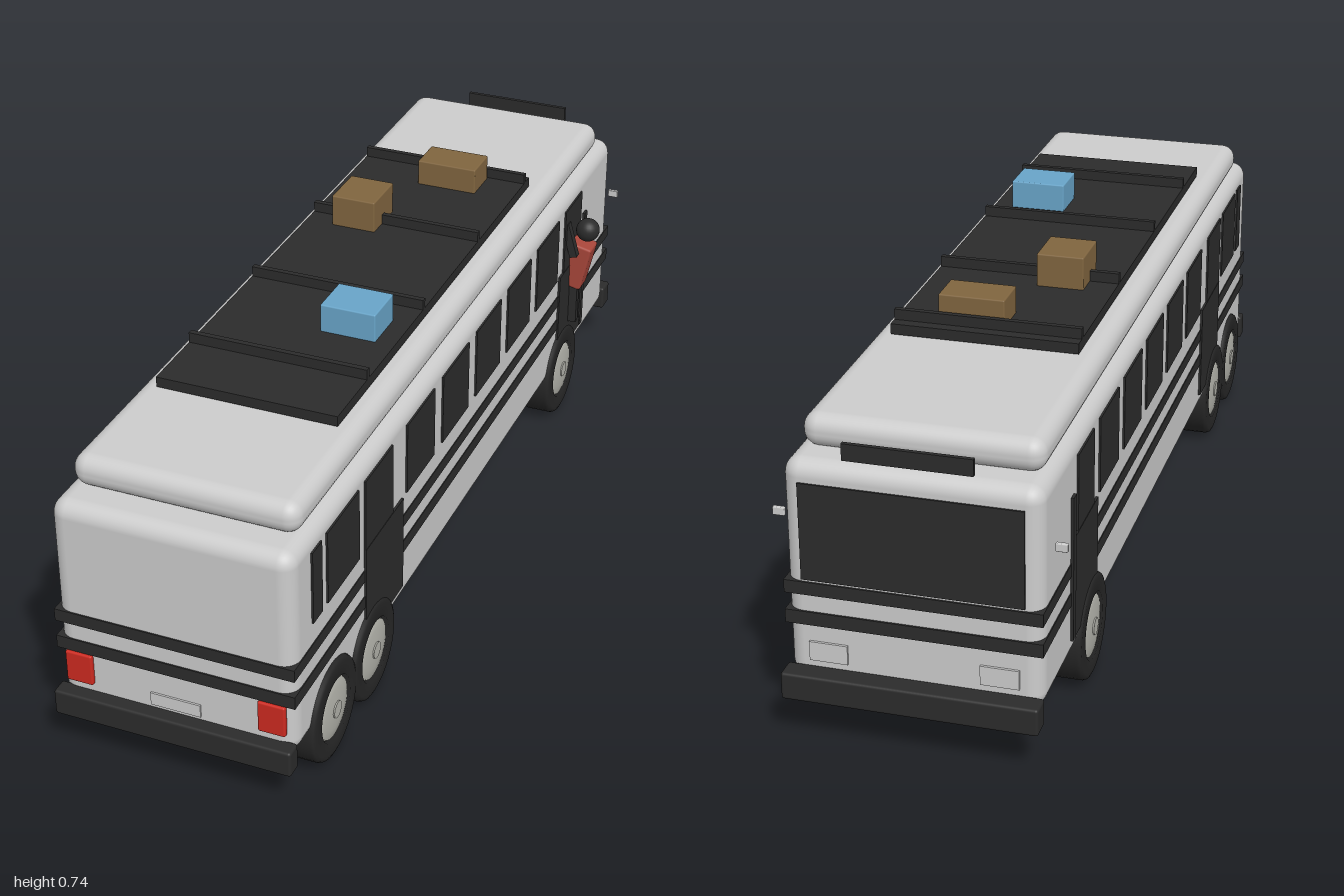
import * as THREE from 'three';
import { RoundedBoxGeometry } from 'three/addons/geometries/RoundedBoxGeometry.js';

const CX = -0.015; // centre line of the bus

function mat(name, color) {
  const m = new THREE.MeshStandardMaterial({ color });
  m.name = name;
  return m;
}

export function createModel() {
  const root = new THREE.Group();
  root.name = 'bus';
  const silver = mat('silver paint', 0xcccccc);
  const black = mat('black trim', 0x2b2b2b);
  const rubber = mat('tyre rubber', 0x262626);
  const hubMetal = mat('hub metal', 0xb4b4ac);
  const lampRed = mat('lamp red', 0xcc2a20);
  const shirtRed = mat('shirt red', 0xa8463a);
  const brown = mat('luggage brown', 0x80653f);
  const blue = mat('luggage blue', 0x68a4c8);

  const add = (name, geometry, material, parent = root) => {
    const mesh = new THREE.Mesh(geometry, material);
    mesh.name = name;
    parent.add(mesh);
    return mesh;
  };
  // Box given by its limits; a radius rounds the edges
  const box = (name, material, [x0, x1], [y0, y1], [z0, z1], radius = 0) => {
    const s = [x1 - x0, y1 - y0, z1 - z0];
    const g = radius ? new RoundedBoxGeometry(...s, 4, radius) : new THREE.BoxGeometry(...s);
    g.translate((x0 + x1) / 2, (y0 + y1) / 2, (z0 + z1) / 2);
    return add(name, g, material);
  };

  // Body shell and raised roof
  box('body', silver, [-0.265, 0.235], [0.118, 0.578], [-0.955, 0.97], 0.033);
  box('roof', silver, [-0.25, 0.218], [0.574, 0.642], [-0.893, 0.905], 0.031);

  // Wrap-around stripes and bumpers
  for (const [y0, y1] of [[0.24, 0.268], [0.304, 0.331]]) {
    box('stripe', black, [-0.267, 0.237], [y0, y1], [-0.959, 0.973]);
  }
  box('frontBumper', black, [-0.268, 0.237], [0.095, 0.152], [-1, -0.953], 0.006);
  box('rearBumper', black, [-0.268, 0.237], [0.095, 0.152], [0.963, 1], 0.006);

  // Front end: windscreen, destination sign, headlights
  box('windscreen', black, [-0.232, 0.202], [0.336, 0.536], [-0.959, -0.951]);
  box('destinationSign', black, [-0.14, 0.11], [0.597, 0.631], [-0.966, -0.957]);
  for (const s of [-1, 1]) {
    const x = CX + s * 0.168;
    box('headlight', silver, [x - 0.038, x + 0.038], [0.165, 0.205], [-0.96, -0.952]);
  }

  // Rear end: tail lamps and plate
  for (const s of [-1, 1]) {
    const x = CX + s * 0.204;
    box('tailLamp', lampRed, [x - 0.0285, x + 0.0285], [0.17, 0.24], [0.966, 0.979], 0.004);
  }
  box('licencePlate', silver, [-0.068, 0.038], [0.16, 0.188], [0.966, 0.974]);

  // Wheel profiles, turned about the axle
  const lathe = pts => new THREE.LatheGeometry(
    pts.map(p => new THREE.Vector2(...p)), 40).rotateZ(-Math.PI / 2);
  const tyreGeo = lathe([[0, -0.036], [0.1, -0.036], [0.107, -0.033], [0.11, -0.026],
    [0.11, 0.026], [0.107, 0.033], [0.1, 0.036], [0.07, 0.036], [0.066, 0.026], [0, 0.026]]);
  const hubGeo = lathe([[0.067, 0.026], [0.064, 0.032], [0.045, 0.034], [0.02, 0.037], [0, 0.037]]);
  const capGeo = new THREE.CylinderGeometry(0.018, 0.018, 0.01, 20).rotateZ(-Math.PI / 2);

  // Sides, mirrored about the centre line
  for (const s of [-1, 1]) {
    const plate = (name, y, z, out = 0.004) => {
      const a = CX + s * (0.25 - 0.004), b = CX + s * (0.25 + out);
      box(name, black, [Math.min(a, b), Math.max(a, b)], y, z);
    };
    plate('sideWindow', [0.38, 0.54], [0.842, 0.886]);
    for (let i = 0; i < 8; i++) {
      const z = 0.74 - i * 0.2014;
      const front = i === 7 ? z - 0.045 : z - 0.077;
      const back = i === 1 ? 0.632 : z + 0.077;
      plate('sideWindow', [0.38, 0.54], [i === 1 ? 0.49 : front, back]);
    }
    plate('rearDoor', [0.162, 0.38], [0.436, 0.632], 0.005);
    plate('frontDoor', [0.162, 0.38], [-0.735, -0.565], 0.005);
    plate('doorRail', [0.162, 0.47], [-0.757, -0.737], 0.006);

    // Wing mirror
    const mx = CX + s * 0.274;
    box('mirror', silver, [mx - 0.012, mx + 0.012], [0.44, 0.457], [-0.915, -0.906], 0.002);

    // Tandem rear wheels and front wheel
    for (const z of [0.797, 0.595, -0.603]) {
      const wheel = new THREE.Group();
      wheel.name = 'wheel';
      add('tyre', tyreGeo, rubber, wheel);
      add('hub', hubGeo, hubMetal, wheel);
      add('axleCap', capGeo, hubMetal, wheel).position.x = 0.035;
      wheel.position.set(CX + s * 0.223, 0.111, z);
      if (s < 0) wheel.rotation.y = Math.PI;
      root.add(wheel);
    }
  }

  // Roof rack with cross bars
  box('rackBase', black, [-0.209, 0.177], [0.645, 0.667], [-0.49, 0.622]);
  for (const z of [0.47, 0.17, -0.155, -0.46]) {
    box('rackBar', black, [-0.209, 0.177], [0.665, 0.689], [z - 0.006, z + 0.006]);
  }

  // Luggage
  box('suitcase', brown, [-0.047, 0.09], [0.665, 0.724], [-0.45, -0.365], 0.003);
  box('crate', brown, [-0.147, -0.047], [0.665, 0.737], [-0.215, -0.105], 0.003);
  box('coolBox', blue, [0.016, 0.136], [0.665, 0.728], [0.237, 0.335], 0.003);

  // Passenger leaning out of the front door
  const person = new THREE.Group();
  person.name = 'passenger';
  root.add(person);
  const torso = add('torso', new RoundedBoxGeometry(0.062, 0.115, 0.056, 3, 0.006), shirtRed, person);
  torso.position.set(0.248, 0.378, -0.664);
  torso.rotation.z = -0.22;
  add('head', new THREE.SphereGeometry(0.028, 24, 16), black, person).position.set(0.272, 0.468, -0.664);
  const arm = add('arm', new THREE.BoxGeometry(0.018, 0.085, 0.018), black, person);
  arm.position.set(0.245, 0.46, -0.614);
  arm.rotation.z = 0.28;
  for (const z of [-0.648, -0.674]) {
    add('leg', new THREE.BoxGeometry(0.025, 0.1, 0.016), black, person).position.set(0.247, 0.275, z);
  }
  return root;
}
